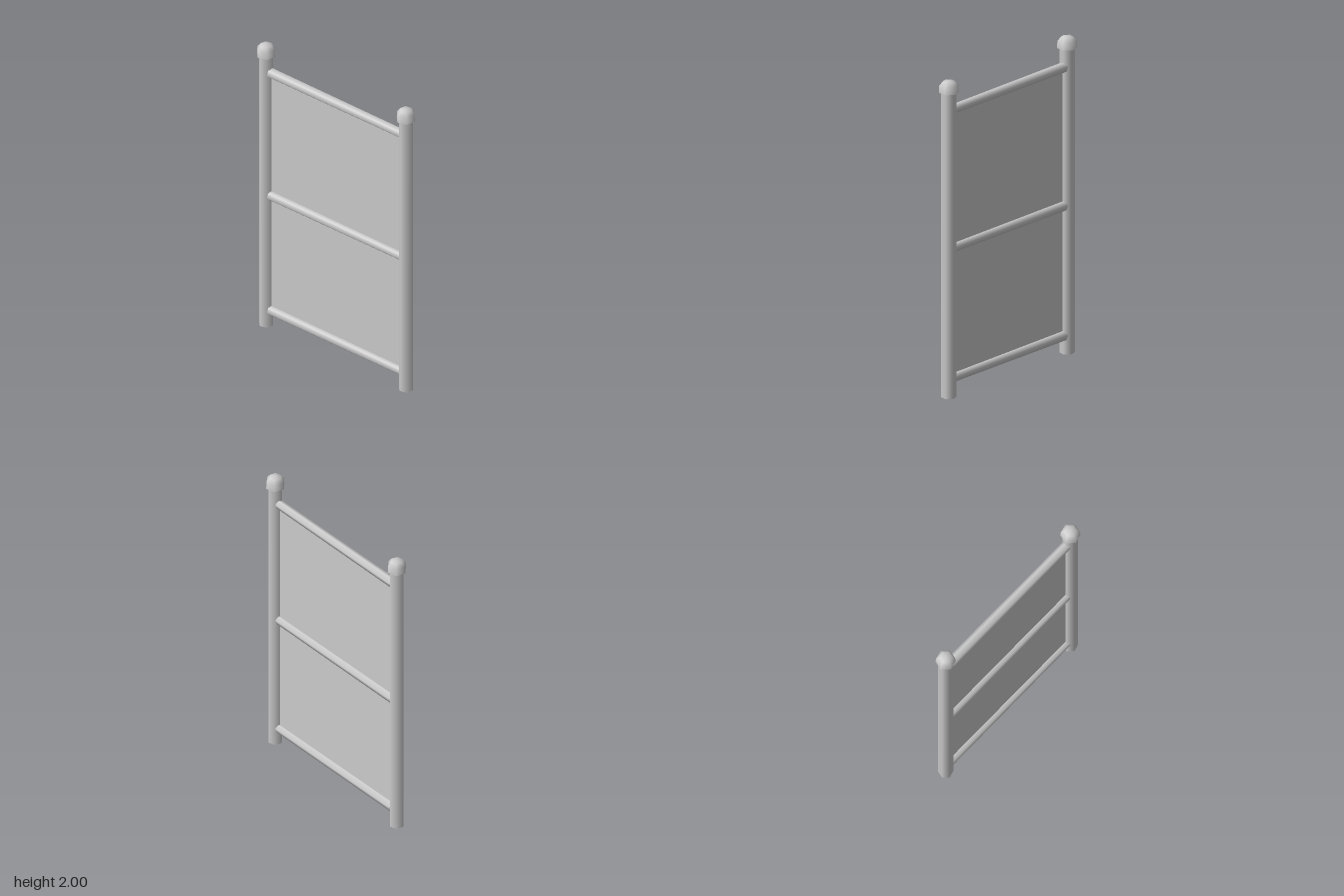
import * as THREE from 'three';
import { toCreasedNormals } from 'three/addons/utils/BufferGeometryUtils.js';

const SIDES = 6;
const PHASE = Math.PI / 4; // turn of the hexagonal sections
const POST_X = 0.549;
const RAIL_HEIGHTS = [0.115, 0.935, 1.81];

export function createModel() {
  const group = new THREE.Group();
  const grey = new THREE.MeshStandardMaterial({ color: 0xcccccc });
  const thinGrey = new THREE.MeshStandardMaterial({ color: 0xcccccc, side: THREE.DoubleSide });

  const add = (name, geometry, material, x, y) => {
    const mesh = new THREE.Mesh(geometry, material);
    mesh.name = name;
    mesh.position.set(x, y, 0);
    group.add(mesh);
  };

  // Upright posts with domed caps
  const post = new THREE.CylinderGeometry(0.046, 0.046, 1.94, SIDES, 1, false, PHASE);
  const capProfile = [[0, 0], [0.061, 0], [0.058, 0.045], [0.037, 0.071], [0, 0.075]]
    .map(([r, y]) => new THREE.Vector2(r, y));
  const cap = toCreasedNormals(
    new THREE.LatheGeometry(capProfile, SIDES, PHASE), THREE.MathUtils.degToRad(70));
  for (const [side, sign] of [['left', 1], ['right', -1]]) {
    add(side + 'Post', post, grey, sign * POST_X, 0.97);
    add(side + 'PostCap', cap, grey, sign * POST_X, 1.925);
  }

  // Horizontal rails, a little thicker towards -x
  const rail = new THREE.CylinderGeometry(0.033, 0.03, 1.04, SIDES, 1, false, PHASE);
  rail.rotateZ(Math.PI / 2);
  const railNames = ['bottomRail', 'middleRail', 'topRail'];
  RAIL_HEIGHTS.forEach((y, i) => add(railNames[i], rail, grey, 0, y));

  // Thin sheet filling the frame
  const [low, , high] = RAIL_HEIGHTS;
  add('panel', new THREE.PlaneGeometry(1.04, high - low), thinGrey, 0, (low + high) / 2);

  return group;
}
